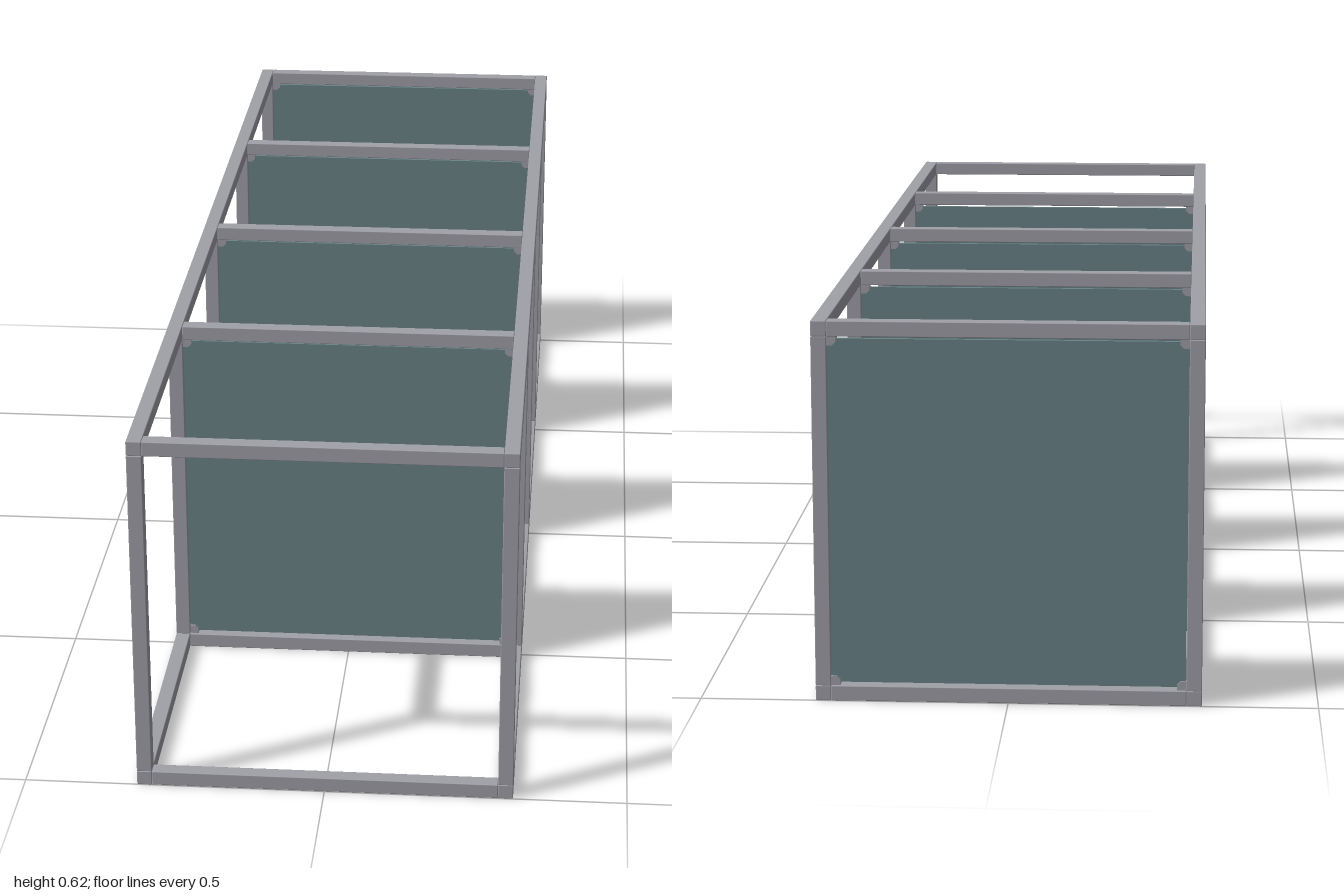
import * as THREE from 'three';
import { RoundedBoxGeometry } from 'three/addons/geometries/RoundedBoxGeometry.js';

const W = 0.625;        // outer width and height
const L = 2;            // length
const T = 0.025;        // bar thickness
const C = (W - T) / 2;  // bar centre line, from the middle of the section

export function createModel() {
  const group = new THREE.Group();
  const metal = new THREE.MeshStandardMaterial({ color: 0xa0a0a8 });
  metal.name = 'grey metal';
  const board = new THREE.MeshStandardMaterial({ color: 0x6a8487 });
  board.name = 'teal board';

  const add = (name, geometry, material, parent, x, y, z) => {
    const mesh = new THREE.Mesh(geometry, material);
    mesh.name = name;
    mesh.position.set(x, y, z);
    parent.add(mesh);
    return mesh;
  };

  const railGeo = new RoundedBoxGeometry(T, T, L, 1, 0.0015);
  const postGeo = new RoundedBoxGeometry(T, W - 2 * T, T, 1, 0.0015);
  const barGeo = new RoundedBoxGeometry(W - 2 * T, T, T, 1, 0.0015);
  const panelGeo = new THREE.BoxGeometry(0.574, 0.566, 0.008);

  // Small corner plate with its inner corner cut off
  const s = 0.015;
  const plate = new THREE.Shape([
    new THREE.Vector2(0, 0), new THREE.Vector2(s, 0),
    new THREE.Vector2(s, s * 0.6), new THREE.Vector2(s * 0.6, s), new THREE.Vector2(0, s),
  ]);
  const plateGeo = new THREE.ExtrudeGeometry(plate, { depth: 0.016, bevelEnabled: false });
  plateGeo.translate(0, 0, -0.008);

  // Four long rails
  for (const sx of [-1, 1]) {
    for (const sy of [-1, 1]) add('longRail', railGeo, metal, group, sx * C, W / 2 + sy * C, 0);
  }

  // Five square frames; all but the front one hold a panel
  [-0.9875, -0.5, 0, 0.5, 0.9875].forEach((z, i) => {
    const frame = new THREE.Group();
    frame.name = 'crossFrame';
    frame.position.set(0, W / 2, z);
    group.add(frame);
    for (const k of [-1, 1]) {
      add('post', postGeo, metal, frame, k * C, 0, 0);
      add('crossBar', barGeo, metal, frame, 0, k * C, 0);
    }
    if (i === 4) return;
    add('panel', panelGeo, board, frame, 0, 0, 0);
    const inner = W / 2 - T;
    for (let q = 0; q < 4; q++) {
      const a = q * Math.PI / 2;
      const x = q === 0 || q === 3 ? -inner : inner;
      const y = q < 2 ? -inner : inner;
      add('cornerPlate', plateGeo, metal, frame, x, y, 0).rotation.z = a;
    }
  });

  return group;
}
